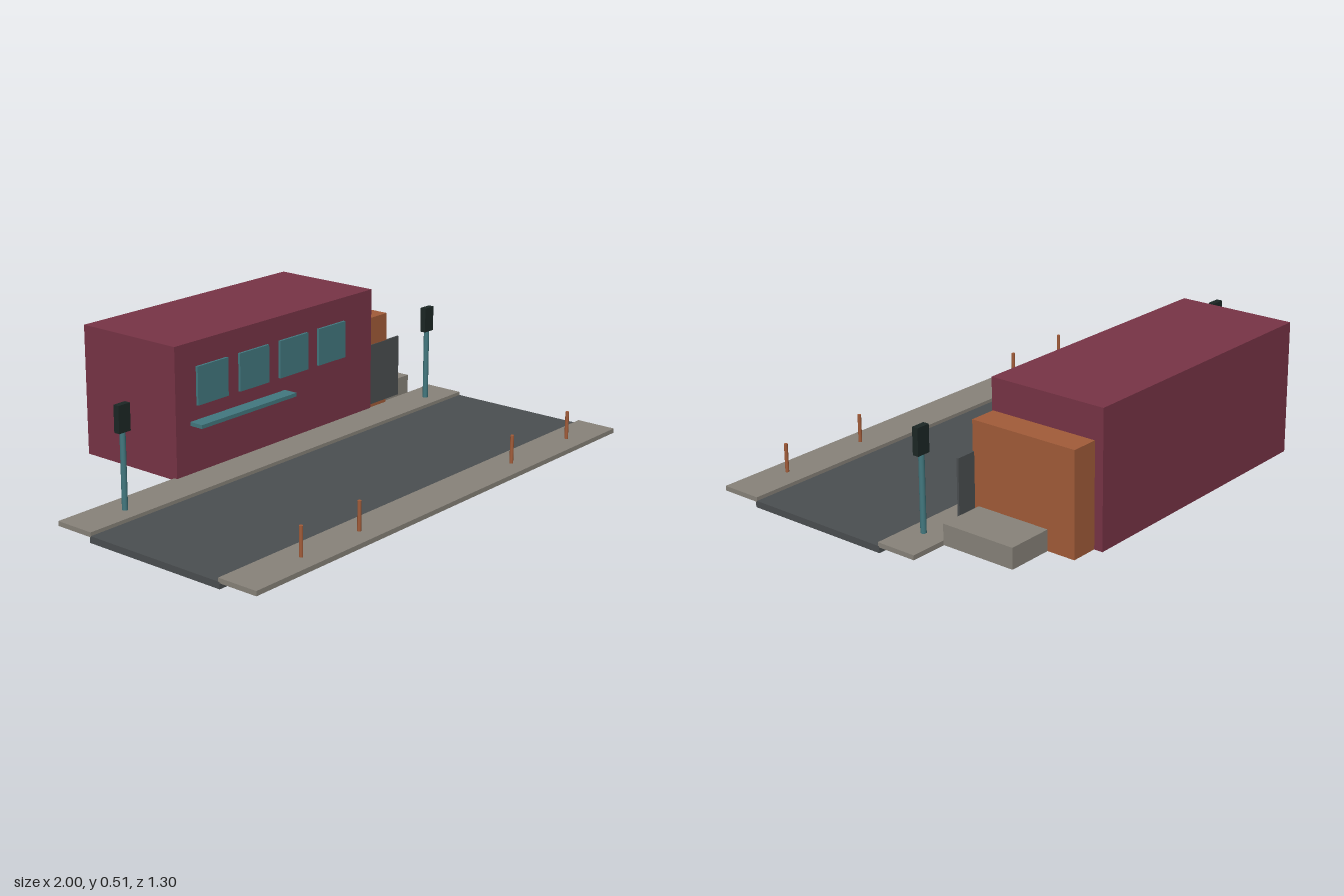
import * as THREE from 'three';

const material = (name, color) => {
  const m = new THREE.MeshStandardMaterial({ color });
  m.name = name;
  return m;
};

export function createModel() {
  const group = new THREE.Group();
  const maroon = material('maroon wall', 0x783446);
  const orange = material('orange brick', 0xa25c39);
  const teal = material('teal', 0x42787f);
  const concrete = material('concrete', 0x88837a);
  const asphalt = material('asphalt', 0x4b4f51);
  const black = material('lamp black', 0x1c2725);

  const add = (name, geometry, mat, x, y, z) => {
    const mesh = new THREE.Mesh(geometry, mat);
    mesh.name = name;
    mesh.position.set(x, y, z);
    group.add(mesh);
  };
  // Box given by its limits on each axis
  const box = (name, mat, x0, x1, y0, y1, z0, z1) =>
    add(name, new THREE.BoxGeometry(x1 - x0, y1 - y0, z1 - z0), mat,
      (x0 + x1) / 2, (y0 + y1) / 2, (z0 + z1) / 2);
  // Upright post standing between two heights
  const post = (name, mat, radius, x, y0, y1, z) =>
    add(name, new THREE.CylinderGeometry(radius, radius, y1 - y0, 12), mat, x, (y0 + y1) / 2, z);

  // Street with raised pavements overlapping its edges
  box('road', asphalt, -1, 1, 0, 0.024, -0.068, 0.503);
  box('frontPavement', concrete, -1, 1, 0.02, 0.037, 0.497, 0.652);
  box('backPavement', concrete, -1, 1, 0.02, 0.037, -0.217, -0.063);

  // Main building, side annex and low block
  box('mainBuilding', maroon, -0.465, 0.603, 0.029, 0.512, -0.651, -0.203);
  box('sideAnnex', orange, 0.59, 0.704, 0.0295, 0.398, -0.619, -0.207);
  box('lowBlock', concrete, 0.704, 0.875, 0.03, 0.104, -0.513, -0.229);
  box('darkPanel', asphalt, 0.6, 0.78, 0.05, 0.29, -0.213, -0.205);

  // Shopfront windows and ledge
  for (let i = 0; i < 4; i++) {
    const x = -0.286 + i * 0.215;
    box('window', teal, x - 0.077, x + 0.077, 0.281, 0.422, -0.203, -0.1935);
  }
  box('ledge', teal, -0.395, 0.101, 0.214, 0.228, -0.204, -0.147);

  // Street lamps
  for (const x of [-0.787, 0.857]) {
    post('lampPost', teal, 0.0105, x, 0.037, 0.312, -0.127);
    box('lampHead', black, x - 0.026, x + 0.026, 0.309, 0.405, -0.138, -0.115);
  }

  // Bollards along the front pavement
  for (const x of [-0.715, -0.43, 0.427, 0.784])
    post('bollard', orange, 0.0068, x, 0.037, 0.141, 0.58);

  return group;
}
